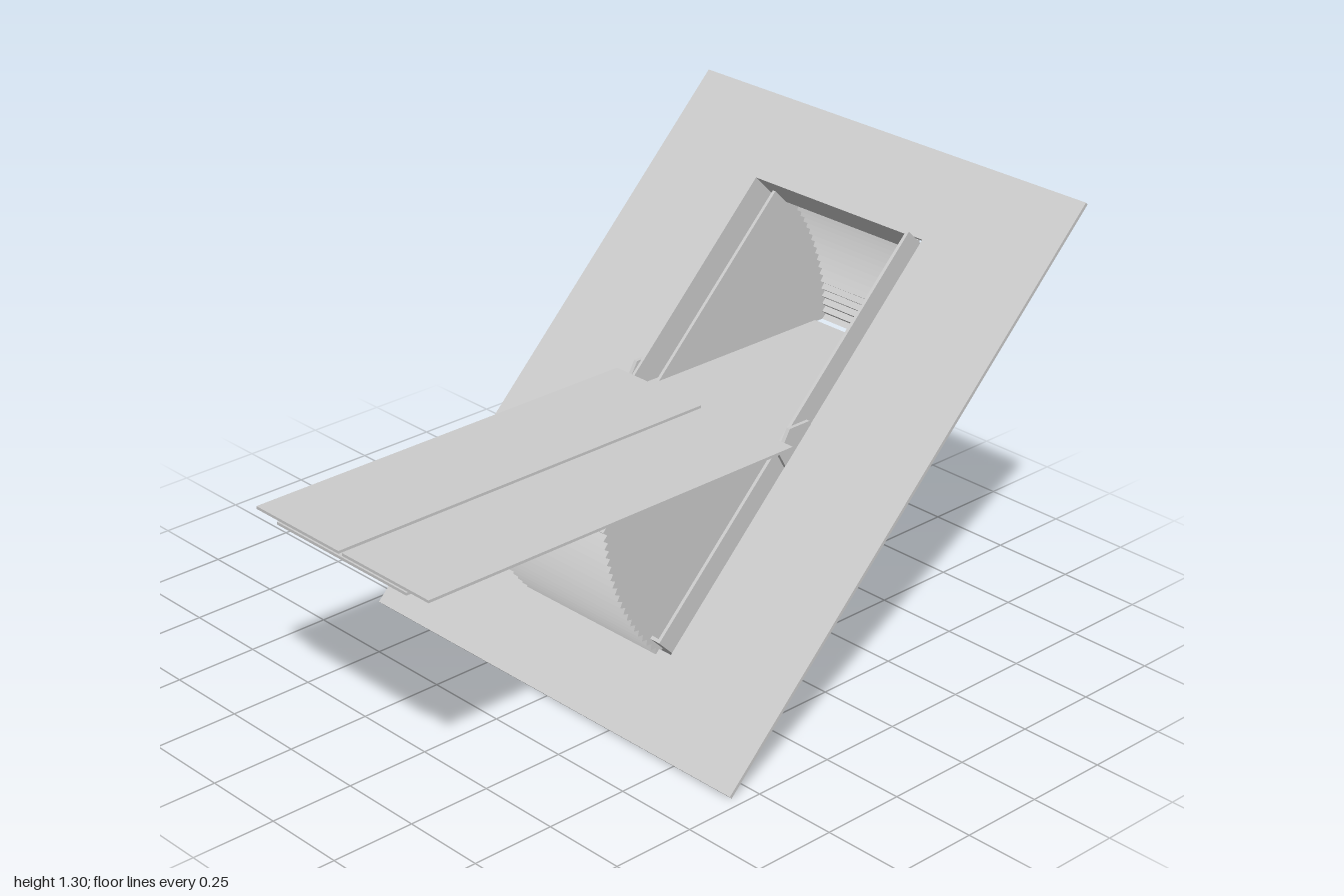
import * as THREE from 'three';

const material = new THREE.MeshStandardMaterial({ color: 0xcccccc, flatShading: true });
const thinMaterial = new THREE.MeshStandardMaterial({ color: 0xcccccc, flatShading: true, side: THREE.DoubleSide });

const TEETH = 21, SWEEP = Math.PI / 4, R_IN = 0.66, R_OUT = 0.674;
const FAN_W = 0.26, WALL = 0.01;

function add(parent, name, geometry, x = 0, y = 0, z = 0, mat = material) {
  const mesh = new THREE.Mesh(geometry, mat);
  mesh.name = name;
  mesh.position.set(x, y, z);
  parent.add(mesh);
  return mesh;
}
const box = (w, h, d) => new THREE.BoxGeometry(w, h, d);

// Angle and radius of each fold of the pleated arc
function fold(i) {
  return { a: (SWEEP * i) / (2 * TEETH), r: i % 2 ? R_OUT : R_IN };
}

// Quarter-open bellows: two sector walls joined by a zigzag pleated sheet
function makeFan(name) {
  const fan = new THREE.Group();
  fan.name = name;

  const shape = new THREE.Shape();
  shape.moveTo(0, 0);
  for (let i = 0; i <= 2 * TEETH; i++) {
    const { a, r } = fold(i);
    shape.lineTo(r * Math.cos(a), r * Math.sin(a));
  }
  const wall = new THREE.ExtrudeGeometry(shape, { depth: WALL, bevelEnabled: false });
  wall.rotateY(Math.PI / 2);
  add(fan, 'leftFanWall', wall, FAN_W - WALL);
  add(fan, 'rightFanWall', wall, -FAN_W);

  const sheet = new THREE.PlaneGeometry(2 * FAN_W, 1, 1, 2 * TEETH);
  const p = sheet.attributes.position;
  for (let i = 0; i < p.count; i++) {
    const { a, r } = fold(Math.floor(i / 2));
    p.setXYZ(i, p.getX(i), r * Math.sin(a), -r * Math.cos(a));
  }
  const pleats = sheet.toNonIndexed();
  pleats.computeVertexNormals();
  add(fan, 'pleatedArc', pleats, 0, 0, 0, thinMaterial);
  return fan;
}

export function createModel() {
  const model = new THREE.Group();
  model.name = 'pivotingRoofWindow';

  // Everything turns around the pivot axis
  const pivot = new THREE.Group();
  pivot.name = 'pivotAssembly';
  pivot.position.set(0, 0.65, -0.326);
  model.add(pivot);

  // Sloped roof with its opening and frame
  const slope = new THREE.Group();
  slope.name = 'slopedRoof';
  slope.rotation.x = -Math.PI / 4;
  pivot.add(slope);

  const rect = (Type, w, h) => new Type([[-w, -h], [w, -h], [w, h], [-w, h]].map(([x, y]) => new THREE.Vector2(x, y)));
  const roof = rect(THREE.Shape, 0.717, 0.914);
  roof.holes.push(rect(THREE.Path, 0.305, 0.66));
  add(slope, 'roofPanel', new THREE.ExtrudeGeometry(roof, { depth: 0.01, bevelEnabled: false }), 0, 0, -0.003);

  const frame = rect(THREE.Shape, 0.295, 0.6525);
  frame.holes.push(rect(THREE.Path, 0.285, 0.6425));
  add(slope, 'windowFrame', new THREE.ExtrudeGeometry(frame, { depth: 0.123, bevelEnabled: false }), 0, 0, -0.062);

  // Hexagonal pivot plates on both sides
  for (const side of [1, -1]) {
    const hex = new THREE.CylinderGeometry(0.075, 0.075, 0.012, 6);
    hex.rotateY(Math.PI / 2).rotateZ(Math.PI / 2);
    // Turn the points of the hexagon to the front and back
    const p = new THREE.Box3().setFromBufferAttribute(hex.attributes.position);
    if (p.max.y > 0.07) hex.rotateX(Math.PI / 2);
    add(pivot, side > 0 ? 'leftPivotPlate' : 'rightPivotPlate', hex, side * 0.3);
  }

  // Level sash and the two bellows
  add(pivot, 'sash', box(0.54, 0.01, 1.26), 0, 0, 0);
  const upper = makeFan('upperBellows');
  const lower = makeFan('lowerBellows');
  lower.rotation.x = Math.PI;
  lower.position.y = -0.005;
  pivot.add(upper, lower);

  // Projecting canopy: two boards above a narrower one
  for (const side of [1, -1]) {
    add(model, side > 0 ? 'leftCanopyBoard' : 'rightCanopyBoard', box(0.339, 0.008, 1.26), side * 0.1765, 0.682, 0.37);
  }
  add(model, 'lowerCanopyBoard', box(0.52, 0.008, 1.26), 0, 0.669, 0.37);

  return model;
}
